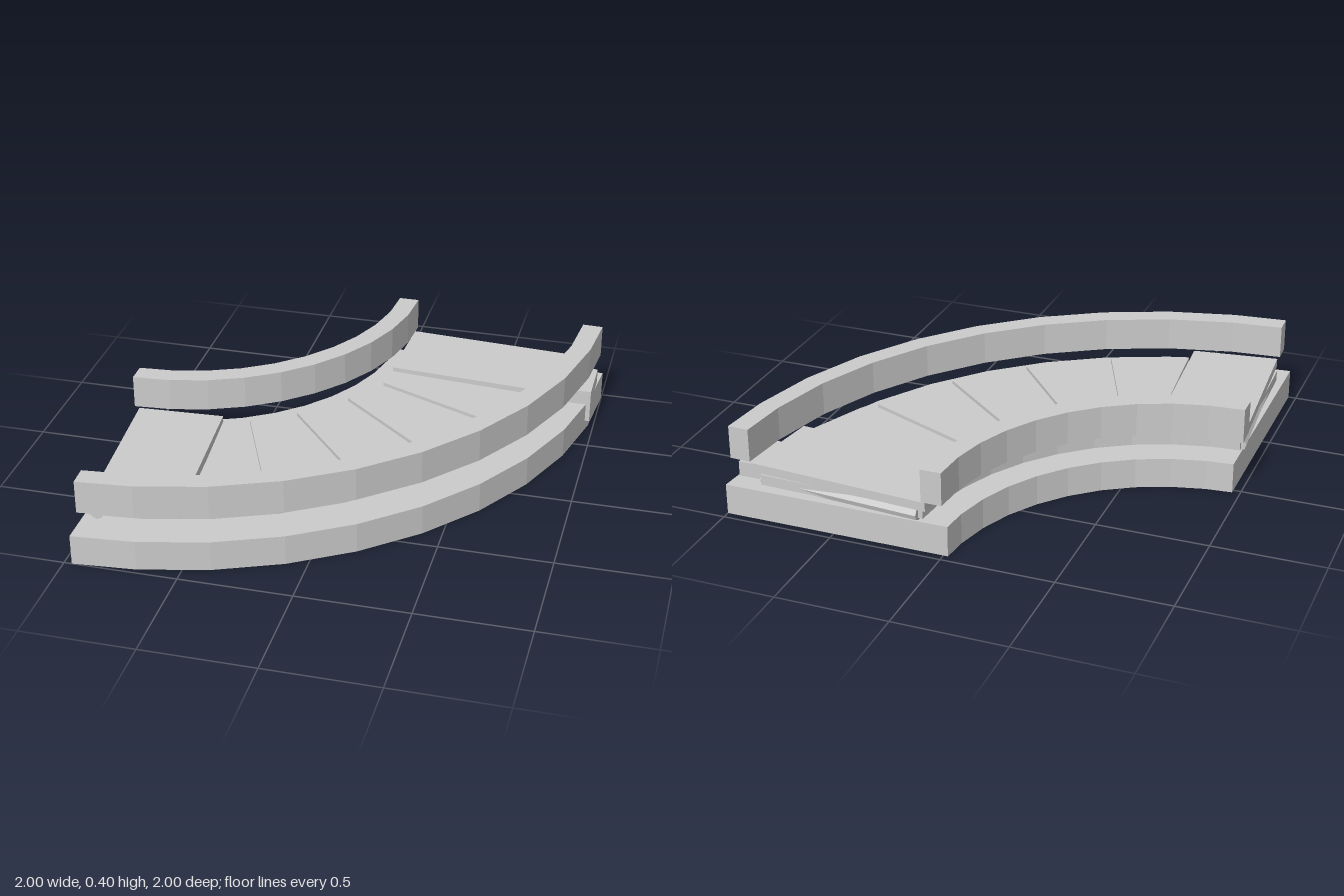
import * as THREE from 'three';

const CENTER = -1; // bend centre in both x and z
const STEP = 9; // degrees per facet
const mat = new THREE.MeshStandardMaterial({ color: 0xcccccc, flatShading: true });

// point on the bend, angle in degrees measured from +x towards +z
function polar(r, deg) {
  const a = THREE.MathUtils.degToRad(deg);
  return [CENTER + r * Math.cos(a), CENTER + r * Math.sin(a)];
}

// faceted arc between two angles, with corners at multiples of STEP
function arc(r, from, to) {
  const pts = [polar(r, from)];
  for (let d = Math.floor(from / STEP + 1) * STEP; d < to - 0.01; d += STEP) pts.push(polar(r, d));
  pts.push(polar(r, to));
  return pts;
}

function add(group, name, geometry) {
  const mesh = new THREE.Mesh(geometry, mat);
  mesh.name = name;
  group.add(mesh);
  return mesh;
}

// slab with a plan outline of [x, z] points between two heights
function slab(group, name, pts, y0, y1) {
  const shape = new THREE.Shape(pts.map(([x, z]) => new THREE.Vector2(x, z)));
  const geo = new THREE.ExtrudeGeometry(shape, { depth: y1 - y0, bevelEnabled: false });
  geo.rotateX(Math.PI / 2).translate(0, y1, 0);
  return add(group, name, geo);
}

// curved slab, each edge trimmed by its own angle at both ends
function bend(group, name, rIn, rOut, trimIn, trimOut, y0, y1) {
  const outer = arc(rOut, trimOut, 90 - trimOut);
  const inner = arc(rIn, trimIn, 90 - trimIn).reverse();
  return slab(group, name, [...outer, ...inner], y0, y1);
}

export function createModel() {
  const g = new THREE.Group();
  g.name = 'curvedConveyor';

  // base with ends cut square to the axes
  const trim = (r) => THREE.MathUtils.radToDeg(Math.asin(0.035 / r));
  bend(g, 'base', 0.98, 2, trim(0.98), trim(2), 0, 0.138);

  // side rails floating above the bed
  bend(g, 'innerRail', 0.988, 1.08, 0, 0, 0.252, 0.402);
  bend(g, 'outerRail', 1.895, 1.988, 2, 2, 0.252, 0.402);

  // bed and the belt surface on it
  bend(g, 'bed', 1.09, 1.845, 2, 2, 0.153, 0.2);
  bend(g, 'belt', 1.13, 1.865, 21.5, 15, 0.2, 0.222);

  // both ends are mirrored across the diagonal of the bend
  for (const swap of [false, true]) {
    const m = ([x, z]) => (swap ? [z, x] : [x, z]);

    slab(g, 'endPlate', [[-0.982, 0.07], [-0.59, 0.05], [-0.53, 0.845], [-0.922, 0.895]].map(m), 0.2, 0.24);

    // roller along the open end
    const [ax, az] = m([-0.955, 0.11]);
    const [bx, bz] = m([-0.898, 0.85]);
    const a = new THREE.Vector3(ax, 0.17, az);
    const b = new THREE.Vector3(bx, 0.17, bz);
    const roller = add(g, 'endRoller', new THREE.CylinderGeometry(0.03, 0.03, a.distanceTo(b), 8));
    roller.position.copy(a).add(b).multiplyScalar(0.5);
    roller.quaternion.setFromUnitVectors(new THREE.Vector3(0, 1, 0), b.clone().sub(a).normalize());

    // raised slats across the belt
    for (const [p, q] of [[[0.045, -0.45], [0.63, -0.2]], [[-0.075, -0.265], [0.41, 0.145]]]) {
      const [px, pz] = m(p);
      const [qx, qz] = m(q);
      const slat = add(g, 'slat', new THREE.BoxGeometry(Math.hypot(qx - px, qz - pz), 0.022, 0.028));
      slat.position.set((px + qx) / 2, 0.227, (pz + qz) / 2);
      slat.rotation.y = -Math.atan2(qz - pz, qx - px);
    }
  }

  // small pads carrying the bed
  for (let d = 9; d <= 81; d += 18) {
    for (const r of [1.2, 1.75]) {
      const [x, z] = polar(r, d);
      add(g, 'supportPad', new THREE.CylinderGeometry(0.02, 0.02, 0.02, 8)).position.set(x, 0.145, z);
    }
  }

  // drive housing on the outer side of one end
  add(g, 'driveBox', new THREE.BoxGeometry(0.145, 0.155, 0.23)).position.set(0.912, 0.128, -0.755);

  return g;
}
